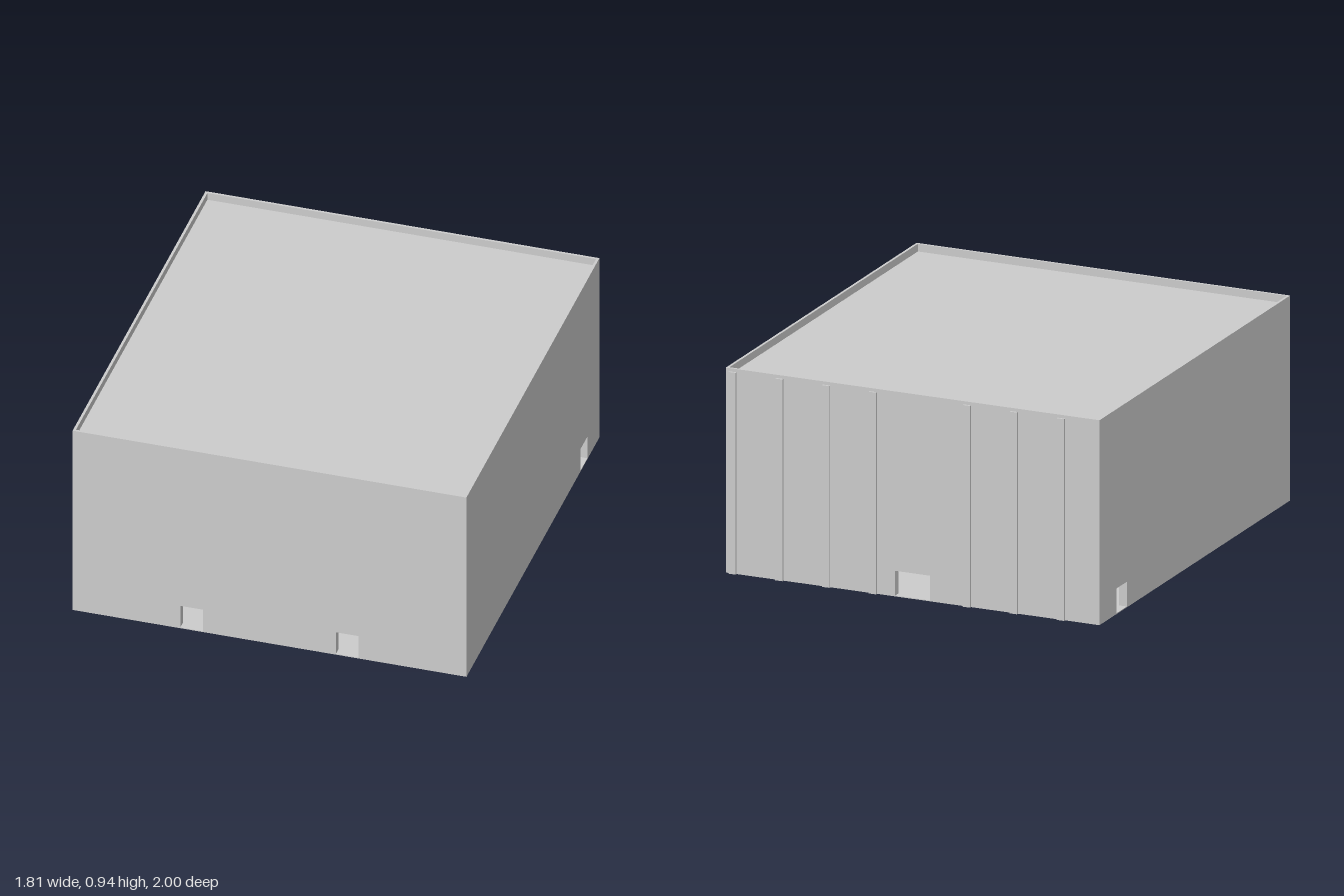
import * as THREE from 'three';

const HX = 0.905, BACK = -0.99, FRONT = 1, TOP = 0.945, ROOF = 0.91, DOOR = 0.118;
const MID = (BACK + FRONT) / 2, DEPTH = FRONT - BACK;
const SHELL = 0.012, LINING = 0.026;

export function createModel() {
  const model = new THREE.Group();
  const mat = new THREE.MeshStandardMaterial({ color: 0xcccccc });

  const add = (name, geo, x = 0, y = 0, z = 0, parent = model) => {
    const mesh = new THREE.Mesh(geo, mat);
    mesh.name = name;
    mesh.position.set(x, y, z);
    parent.add(mesh);
    return mesh;
  };
  const box = (name, x0, x1, y0, y1, z0, z1) =>
    add(name, new THREE.BoxGeometry(x1 - x0, y1 - y0, z1 - z0), (x0 + x1) / 2, (y0 + y1) / 2, (z0 + z1) / 2);

  // Upright panel with doorways notched out of its lower edge
  const panel = (width, height, thick, doors) => {
    const s = new THREE.Shape();
    s.moveTo(-width / 2, 0);
    for (const [a, b] of doors) {
      s.lineTo(a, 0);
      s.lineTo(a, DOOR);
      s.lineTo(b, DOOR);
      s.lineTo(b, 0);
    }
    s.lineTo(width / 2, 0);
    s.lineTo(width / 2, height);
    s.lineTo(-width / 2, height);
    s.closePath();
    return new THREE.ExtrudeGeometry(s, { depth: thick, bevelEnabled: false });
  };

  // Four walls of one layer, set in from the outside by an inset
  const wallRing = (name, inset, thick, height) => {
    const w = 2 * (HX - inset), d = DEPTH - 2 * (inset + thick);
    const frontDoors = [[-0.41, -0.305], [0.305, 0.41]];
    const sideDoors = [[MID + 0.705, MID + 0.81]];
    add('front' + name, panel(w, height, thick, frontDoors), 0, 0, FRONT - inset - thick);
    add('back' + name, panel(w, height, thick, [[-0.085, 0.085]]), 0, 0, BACK + inset);
    const side = panel(d, height, thick, sideDoors);
    add('left' + name, side, HX - inset - thick, 0, MID).rotation.y = Math.PI / 2;
    add('right' + name, side, -HX + inset, 0, MID).rotation.y = Math.PI / 2;
  };
  wallRing('Wall', 0, SHELL, TOP); // rises past the roof as a parapet
  wallRing('WallLining', SHELL, LINING, ROOF - 0.015);

  // Roof, sunk behind the parapet
  box('roof', -HX + SHELL, HX - SHELL, ROOF - 0.015, ROOF, BACK + SHELL, FRONT - SHELL);

  // Floor with a round opening
  const floor = new THREE.Shape([
    new THREE.Vector2(-HX, -FRONT), new THREE.Vector2(HX, -FRONT),
    new THREE.Vector2(HX, -BACK), new THREE.Vector2(-HX, -BACK),
  ]);
  const R = 0.457;
  const hole = new THREE.Path();
  hole.absarc(0, -MID, R, 0, Math.PI * 2, true);
  floor.holes.push(hole);
  const floorGeo = new THREE.ExtrudeGeometry(floor, { depth: 0.004, bevelEnabled: false, curveSegments: 48 });
  add('floor', floorGeo.rotateX(-Math.PI / 2));

  // Back wall ribs
  for (const x of [-0.72, -0.492, -0.265, 0.19, 0.417, 0.643, 0.87])
    box('backRib', x - 0.018, x + 0.018, 0, 0.93, -1, BACK);

  // Low railing around the opening
  const railing = new THREE.Group();
  railing.name = 'railing';
  model.add(railing);
  const post = new THREE.CylinderGeometry(0.002, 0.002, 0.036, 6);
  const rr = R + 0.012;
  for (let i = 0; i < 48; i++) {
    const a = (i / 48) * Math.PI * 2;
    add('railPost', post, rr * Math.cos(a), 0.022, MID + rr * Math.sin(a), railing);
  }
  add('rail', new THREE.TorusGeometry(rr, 0.002, 6, 64).rotateX(Math.PI / 2), 0, 0.022, MID, railing);

  // Inside columns with collars
  const column = new THREE.CylinderGeometry(0.012, 0.012, ROOF - 0.019, 12);
  const collar = new THREE.CylinderGeometry(0.02, 0.02, 0.012, 12);
  for (const x of [-0.63, -0.44, 0.44, 0.63]) {
    add('column', column, x, (ROOF - 0.011) / 2, 0.75);
    for (const y of [0.2, 0.4, 0.6]) add('columnCollar', collar, x, y, 0.75);
  }

  // Gallery and the room at its end
  const inner = -HX + SHELL + LINING;
  box('gallery', inner, -0.535, 0.3, 0.33, -0.6, 0.3);
  box('sideRoom', inner, -0.535, 0.004, ROOF - 0.015, 0.3, 0.54);

  return model;
}
